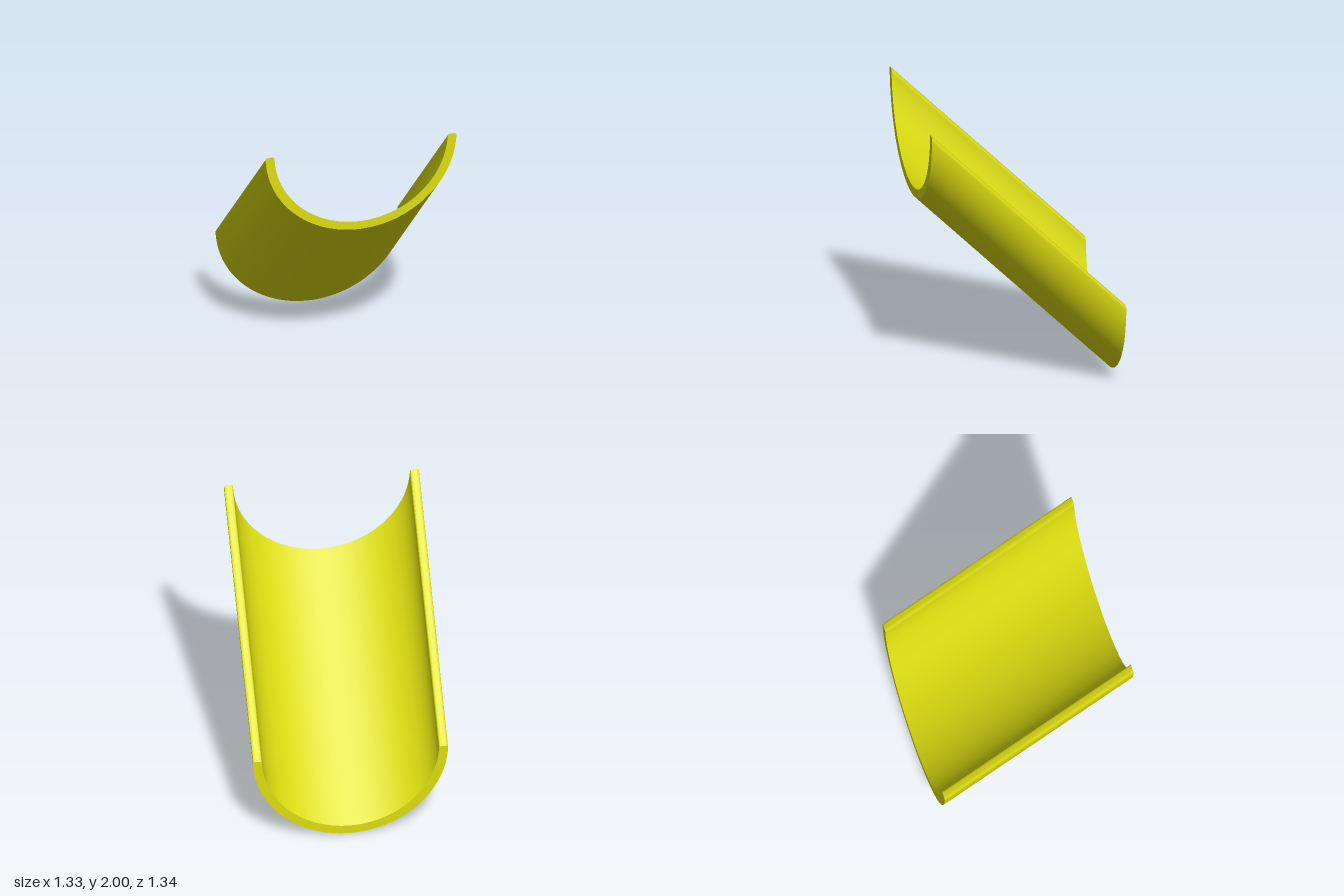
import * as THREE from 'three';
import { toCreasedNormals } from 'three/addons/utils/BufferGeometryUtils.js';

export function createModel() {
  const group = new THREE.Group();
  group.name = 'slopedTrough';

  const outer = 0.665, inner = 0.603; // wall radii
  const centre = 0.665, rim = 0.655;  // arc centre and rim height
  const fillet = 0.02, halfLength = 0.67, rise = 1.345;

  // Half-ring cross-section with softened rim corners
  const drop = centre - rim + fillet;
  const a = Math.asin(drop / outer), b = Math.asin(drop / inner);
  const shape = new THREE.Shape();
  shape.absarc(0, centre, outer, Math.PI + a, 2 * Math.PI - a, false);
  shape.quadraticCurveTo(outer, rim, outer - fillet, rim);
  shape.lineTo(inner + fillet, rim);
  shape.quadraticCurveTo(inner, rim, inner * Math.cos(b), rim - fillet);
  shape.absarc(0, centre, inner, 2 * Math.PI - b, Math.PI + b, true);
  shape.quadraticCurveTo(-inner, rim, -inner - fillet, rim);
  shape.lineTo(-outer + fillet, rim);
  shape.quadraticCurveTo(-outer, rim, -outer * Math.cos(a), rim - fillet);

  // Extrude front to back, then shear so the ends stay vertical
  const geometry = new THREE.ExtrudeGeometry(shape, {
    depth: 2 * halfLength, bevelEnabled: false, curveSegments: 64,
  });
  const pos = geometry.attributes.position;
  for (let i = 0; i < pos.count; i++) {
    const z = pos.getZ(i);
    pos.setY(i, pos.getY(i) + (z / (2 * halfLength)) * rise);
    pos.setZ(i, z - halfLength);
  }

  const trough = new THREE.Mesh(
    toCreasedNormals(geometry, 0.5),
    new THREE.MeshStandardMaterial({ color: 0xdddd11 }),
  );
  trough.name = 'trough';
  group.add(trough);
  return group;
}
